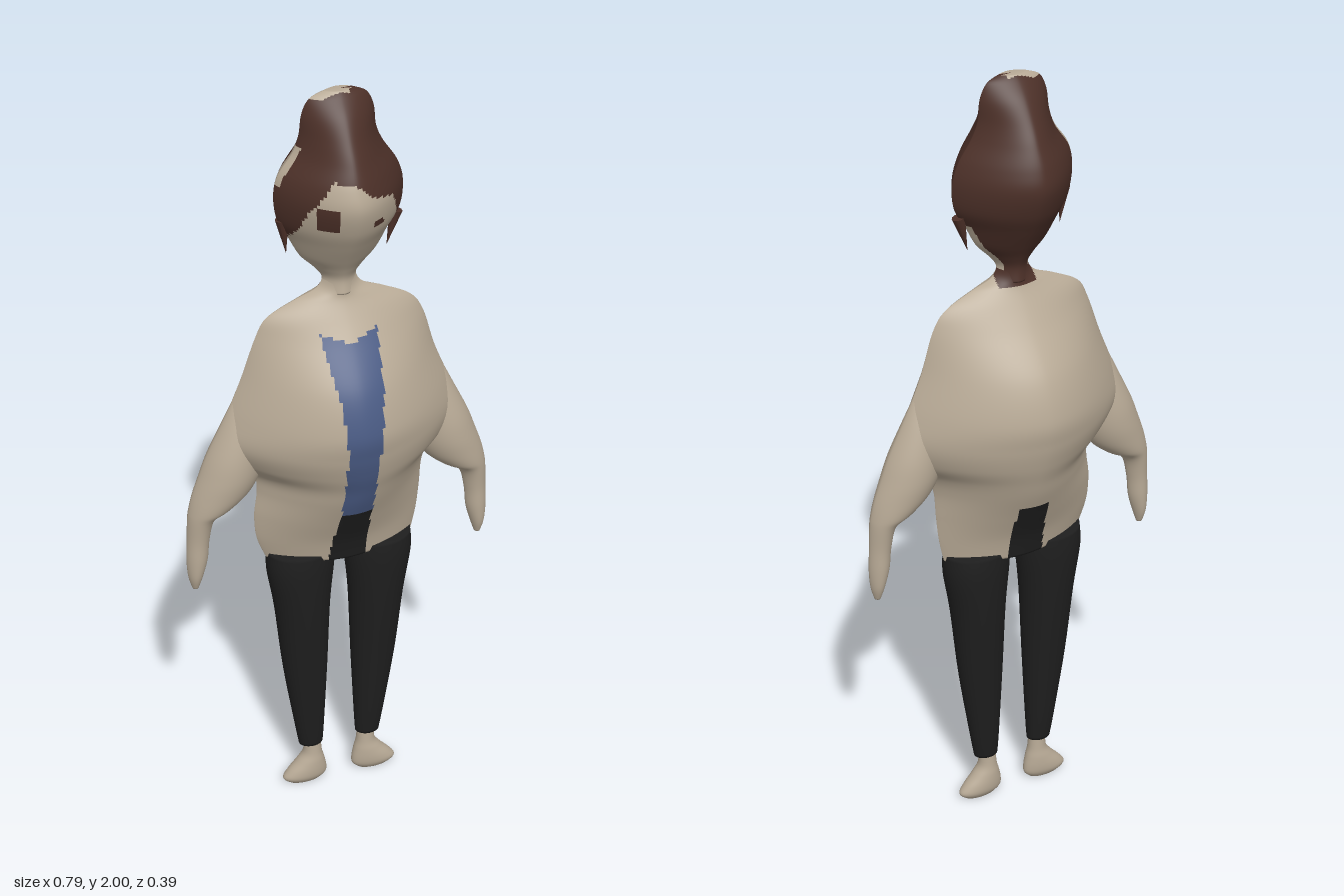
import * as THREE from 'three';

const mat = (name, color) => {
  const m = new THREE.MeshStandardMaterial({ color });
  m.name = name;
  return m;
};

// Linear lookup in a table of [key, value] pairs with ascending keys
function lookup(table, k) {
  if (k <= table[0][0]) return table[0][1];
  for (let i = 1; i < table.length; i++) {
    const [k0, v0] = table[i - 1], [k1, v1] = table[i];
    if (k <= k1) return v0 + (v1 - v0) * (k - k0) / (k1 - k0);
  }
  return table[table.length - 1][1];
}

// Smooth curve through four row values
function spline(a, b, c, d, t) {
  const m0 = (c - a) / 2, m1 = (d - b) / 2, t2 = t * t, t3 = t2 * t;
  return (2 * t3 - 3 * t2 + 1) * b + (t3 - 2 * t2 + t) * m0 + (3 * t2 - 2 * t3) * c + (t3 - t2) * m1;
}

// Loft from rows [y, xMin, xMax, halfDepth], top to bottom.
// The section is a lens: depth * (1 - |u|^p)^q. pick(x, y, z) gives a material index.
function loft(name, rows, { sides = 32, steps = 5, p = 2, q = 0.5, materials, pick = () => 0 }) {
  const pos = [], n = rows.length;
  const rings = (n - 1) * steps + 1;
  for (let i = 0; i < rings; i++) {
    const s = Math.min(Math.floor(i / steps), n - 2), t = i / steps - s;
    const at = (k) => rows[Math.max(0, Math.min(n - 1, k))];
    const [y, x0, x1, d] = [0, 1, 2, 3].map((c) => spline(at(s - 1)[c], at(s)[c], at(s + 1)[c], at(s + 2)[c], t));
    for (let j = 0; j < sides; j++) {
      const a = (j / sides) * Math.PI * 2, u = Math.cos(a);
      const z = d * Math.pow(Math.max(0, 1 - Math.pow(Math.abs(u), p)), q) * Math.sign(Math.sin(a));
      pos.push((x0 + x1) / 2 + u * (x1 - x0) / 2, y, z);
    }
  }
  const faces = materials.map(() => []);
  const add = (...f) => {
    const c = [0, 1, 2].map((k) => f.reduce((sum, v) => sum + pos[v * 3 + k], 0) / f.length);
    const list = faces[pick(...c)];
    list.push(f[0], f[1], f[2]);
    if (f.length === 4) list.push(f[0], f[2], f[3]);
  };
  for (let i = 0; i < rings - 1; i++) {
    for (let j = 0; j < sides; j++) {
      const k = (j + 1) % sides, r = i * sides;
      add(r + j, r + k, r + sides + k, r + sides + j);
    }
  }
  // End caps
  const top = pos.length / 3, first = rows[0], last = rows[n - 1];
  pos.push((first[1] + first[2]) / 2, first[0], 0, (last[1] + last[2]) / 2, last[0], 0);
  for (let j = 0; j < sides; j++) {
    const k = (j + 1) % sides, r = (rings - 1) * sides;
    add(top, k, j);
    add(top + 1, r + j, r + k);
  }
  const g = new THREE.BufferGeometry();
  g.setAttribute('position', new THREE.Float32BufferAttribute(pos, 3));
  g.setIndex(faces.flat());
  let start = 0;
  faces.forEach((f, i) => { g.addGroup(start, f.length, i); start += f.length; });
  g.computeVertexNormals();
  const mesh = new THREE.Mesh(g, materials);
  mesh.name = name;
  return mesh;
}

const mirrored = (rows) => rows.map(([y, a, b, d]) => [y, -b, -a, d]);

export function createModel() {
  const beige = mat('beige', 0xb8aa96), brown = mat('hair brown', 0x4c3028);
  const blue = mat('shirt blue', 0x4a5b84), black = mat('trouser black', 0x1e1e1e);
  const model = new THREE.Group();
  model.name = 'standingFigure';

  // Head with hair bun
  const head = [
    [2.0, -0.035, 0.035, 0.015], [1.985, -0.07, 0.065, 0.03], [1.95, -0.088, 0.082, 0.06],
    [1.9, -0.095, 0.088, 0.092], [1.86, -0.11, 0.105, 0.115], [1.81, -0.145, 0.138, 0.138],
    [1.76, -0.156, 0.154, 0.147], [1.7, -0.148, 0.15, 0.13], [1.65, -0.122, 0.122, 0.102],
    [1.6, -0.095, 0.095, 0.07], [1.565, -0.062, 0.062, 0.048], [1.535, -0.042, 0.042, 0.036],
    [1.5, -0.05, 0.05, 0.04],
  ];
  const hairline = [[-0.16, 1.64], [-0.125, 1.66], [-0.1, 1.75], [-0.05, 1.83], [0, 1.82],
    [0.03, 1.79], [0.1, 1.765], [0.125, 1.7], [0.13, 1.64]];
  const headColor = (x, y, z) => {
    const rim = Math.abs(z) < 0.018;
    if (rim && ((y > 1.985 && x < 0.02) || (x < -0.08 && y > 1.79 && y < 1.88) || y < 1.66)) return 0;
    if (z < 0) return 1;
    const leftPatch = x > -0.085 && x < -0.04 && y > 1.71 && y < 1.77;
    const rightPatch = x > 0.04 && x < 0.07 && y > 1.705 && y < 1.725;
    return y > lookup(hairline, x) || leftPatch || rightPatch ? 1 : 0;
  };
  model.add(loft('head', head, { sides: 140, steps: 7, p: 1.7, q: 0.85, materials: [beige, brown], pick: headColor }));

  // Loose locks beside the jaw
  for (const [x, y, tilt] of [[-0.132, 1.655, 0.1], [0.128, 1.635, -0.25]]) {
    const lock = new THREE.Mesh(new THREE.ConeGeometry(0.016, 0.09, 10), brown);
    lock.name = 'hairLock';
    lock.position.set(x, y, 0);
    lock.rotation.z = Math.PI + tilt;
    model.add(lock);
  }

  // Neck and open jacket
  const body = [
    [1.56, -0.045, 0.045, 0.036], [1.53, -0.042, 0.042, 0.035], [1.505, -0.06, 0.06, 0.037],
    [1.485, -0.11, 0.11, 0.042], [1.45, -0.178, 0.178, 0.062], [1.4, -0.207, 0.212, 0.095],
    [1.3, -0.243, 0.243, 0.165], [1.2, -0.283, 0.283, 0.196], [1.13, -0.3, 0.3, 0.191],
    [1.07, -0.27, 0.28, 0.177], [1.02, -0.22, 0.235, 0.16], [0.97, -0.212, 0.217, 0.143],
    [0.9, -0.22, 0.212, 0.113], [0.83, -0.215, 0.205, 0.085], [0.765, -0.192, 0.192, 0.07],
  ];
  const leftEdge = [[0.765, -0.05], [0.93, -0.035], [1.2, -0.042], [1.3, -0.052], [1.42, -0.07]];
  const rightEdge = [[0.765, 0.05], [0.93, 0.045], [1.1, 0.04], [1.2, 0.046], [1.3, 0.058], [1.42, 0.07]];
  const bodyColor = (x, y, z) => {
    if (z < 0 && y > 1.49 && Math.abs(x) < 0.05) return 3;
    if (x < lookup(leftEdge, y) || x > lookup(rightEdge, y)) return 0;
    if (y < 0.935) return 2;
    return z > 0 && y < 1.4 + 0.3 * Math.abs(x) ? 1 : 0;
  };
  model.add(loft('jacket', body, {
    sides: 200, steps: 8, p: 1.75, q: 0.88, materials: [beige, blue, black, brown], pick: bodyColor,
  }));

  // Sleeves with hands
  const arm = [
    [1.25, 0.17, 0.262, 0.02], [1.18, 0.18, 0.296, 0.04], [1.1, 0.19, 0.335, 0.055],
    [1.04, 0.2, 0.358, 0.058], [0.99, 0.225, 0.376, 0.053], [0.95, 0.27, 0.386, 0.045],
    [0.92, 0.318, 0.39, 0.034], [0.86, 0.335, 0.393, 0.026], [0.8, 0.342, 0.396, 0.025],
    [0.75, 0.356, 0.393, 0.02], [0.715, 0.368, 0.384, 0.008],
  ];
  // Trouser legs
  const leg = [
    [0.78, 0.012, 0.188, 0.068], [0.72, 0.016, 0.19, 0.071], [0.6, 0.027, 0.172, 0.065],
    [0.4, 0.034, 0.152, 0.049], [0.2, 0.043, 0.123, 0.033], [0.13, 0.047, 0.112, 0.025],
  ];
  // Bare feet with toes turned outward
  const foot = [
    [0.15, 0.052, 0.1, 0.02], [0.1, 0.05, 0.1, 0.023], [0.07, 0.043, 0.118, 0.028],
    [0.04, 0.037, 0.145, 0.03], [0.018, 0.038, 0.158, 0.027], [0, 0.055, 0.14, 0.016],
  ];
  for (const [side, shape] of [['left', (r) => r], ['right', mirrored]]) {
    model.add(loft(side + 'Arm', shape(arm), { sides: 48, p: 2, q: 0.65, materials: [beige] }));
    model.add(loft(side + 'Leg', shape(leg), { sides: 40, materials: [black] }));
    model.add(loft(side + 'Foot', shape(foot), { sides: 32, materials: [beige] }));
  }
  return model;
}
